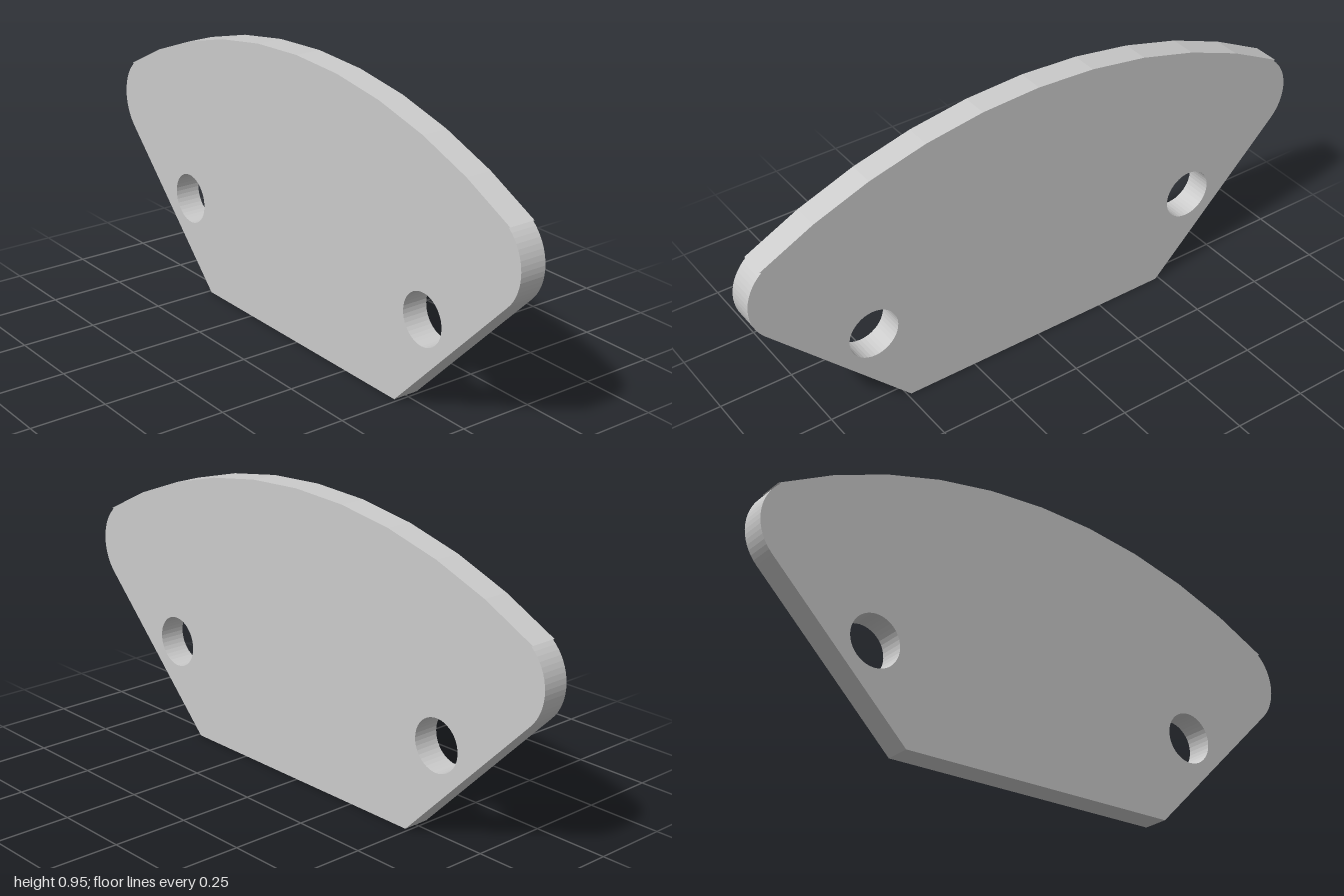
import * as THREE from 'three';

// Points along a circular arc, angles in radians
function arc(cx, cy, r, from, to, steps) {
  return Array.from({ length: steps + 1 }, (_, i) => {
    const a = from + (to - from) * i / steps;
    return new THREE.Vector2(cx + r * Math.cos(a), cy + r * Math.sin(a));
  });
}

export function createModel() {
  const depth = 0.088;
  const topRadius = 1.93, topY = 0.951, halfAngle = 0.515;
  const cornerX = 0.845, cornerY = 0.58, cornerRadius = 0.155;

  // Right half of the outline: base corner, rounded shoulder, shallow top arc
  const half = [
    new THREE.Vector2(0.488, 0),
    ...arc(cornerX, cornerY, cornerRadius, -Math.PI / 4, 0.87, 16),
    ...arc(0, topY - topRadius, topRadius, Math.PI / 2 - halfAngle, Math.PI / 2, 5),
  ];
  const mirrored = half.slice(0, -1).reverse().map(p => new THREE.Vector2(-p.x, p.y));
  const outline = new THREE.Shape([...half, ...mirrored]);

  // Two mounting holes
  for (const side of [-1, 1]) {
    const hole = arc(side * 0.605, 0.305, 0.085, 0, -Math.PI * 2, 40).slice(0, -1);
    outline.holes.push(new THREE.Path(hole));
  }

  const geometry = new THREE.ExtrudeGeometry(outline, { depth, bevelEnabled: false });
  geometry.translate(0, 0, -depth / 2);

  const plate = new THREE.Mesh(geometry, new THREE.MeshStandardMaterial({ color: 0xcccccc }));
  plate.name = 'plate';

  const group = new THREE.Group();
  group.name = 'mountingPlate';
  group.add(plate);
  return group;
}
